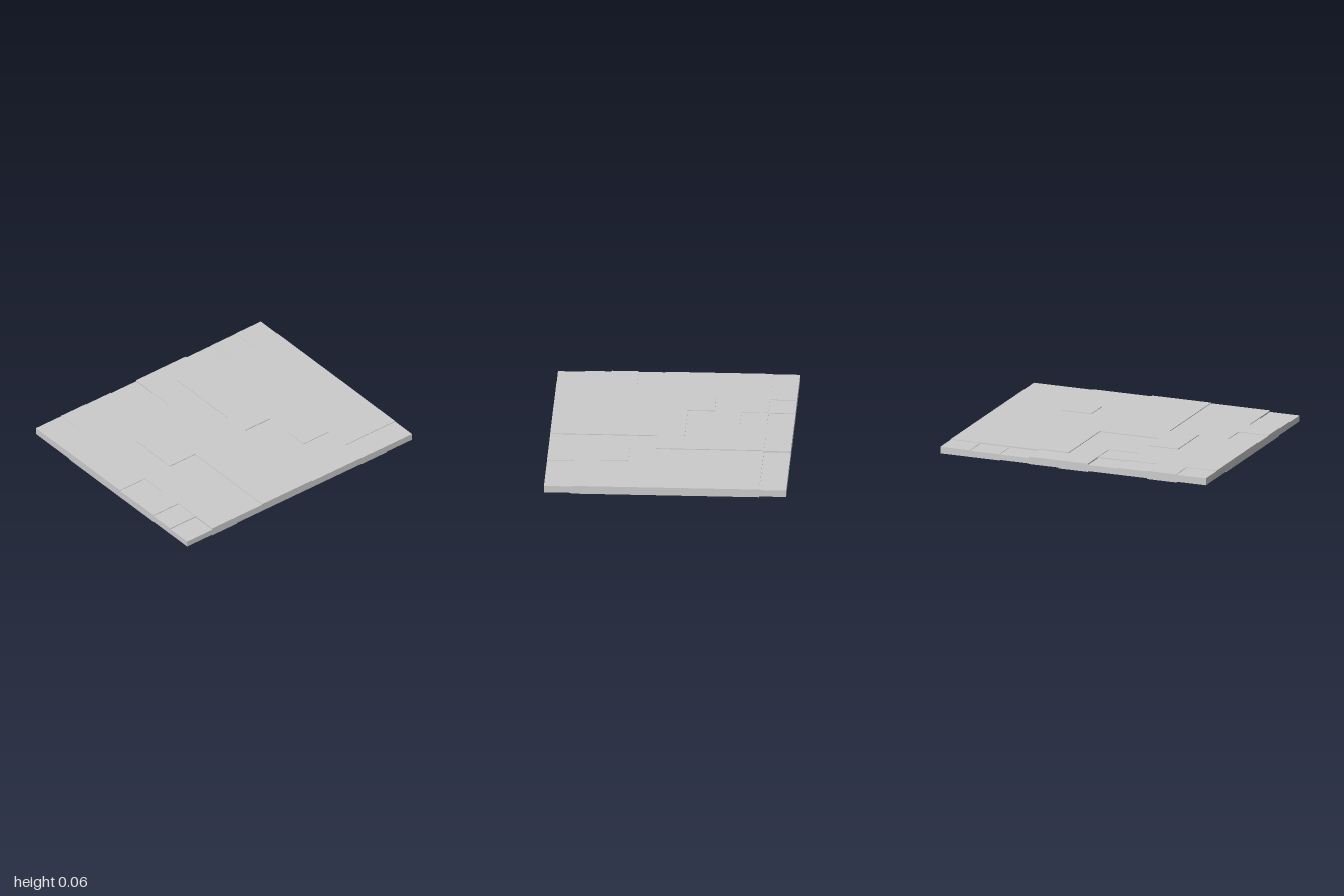
import * as THREE from 'three';

// Plan of the slab: one letter per cell, back row first, x running left to right
const PLAN = [
  'dAefAAghi',
  'AAAkABCCC',
  'AAAAABCCC',
  'AABAABCCC',
  'AABBBBCCC',
  'nAABBCCCC',
  'AAABBCrCC',
  'pAABBCCCC',
  'mAABBCCss',
];
// Depth of the shallow recesses on the underside, per cell
const RECESS = [
  '101101211',
  '100000000',
  '000000000',
  '000000000',
  '000000000',
  '000000000',
  '000000000',
  '100111000',
  '101111101',
];
// Part name and top height for each letter
const PARTS = {
  A: ['sidePlate', 0.059],
  B: ['centralRidge', 0.064],
  C: ['farPlate', 0.058],
  d: ['cornerNotch', 0.056],
  e: ['backNotchShallow', 0.055],
  f: ['backNotchDeep', 0.05],
  g: ['backLedgeLow', 0.049],
  h: ['backLedgeMiddle', 0.051],
  i: ['backLedgeHigh', 0.054],
  k: ['innerNotch', 0.056],
  n: ['edgeNotch', 0.055],
  p: ['edgeStep', 0.054],
  m: ['frontCornerNotch', 0.048],
  r: ['raisedTile', 0.062],
  s: ['frontLedge', 0.054],
};
const N = 9, HALF_X = 1, HALF_Z = 0.842;
const BOTTOM = [0, 0.006, 0.01];

const px = (i) => -HALF_X + (2 * HALF_X * i) / N;
const pz = (j) => -HALF_Z + (2 * HALF_Z * j) / N;

// Vertical extent of a cell; null outside the slab
function span(i, j) {
  if (i < 0 || j < 0 || i >= N || j >= N) return null;
  return [BOTTOM[+RECESS[j][i]], PARTS[PLAN[j][i]][1]];
}

function quad(out, a, b, c, d) {
  for (const p of [a, b, c, a, c, d]) out.push(...p);
}

// Faces of one cell: top, underside and only the exposed bits of its walls
function addCell(out, i, j) {
  const [lo, hi] = span(i, j);
  const x0 = px(i), x1 = px(i + 1), z0 = pz(j), z1 = pz(j + 1);
  quad(out, [x0, hi, z1], [x1, hi, z1], [x1, hi, z0], [x0, hi, z0]);
  quad(out, [x0, lo, z0], [x1, lo, z0], [x1, lo, z1], [x0, lo, z1]);
  // Neighbour offset and the wall's two ends, seen left to right from outside
  const walls = [
    [0, 1, x0, z1, x1, z1],
    [1, 0, x1, z1, x1, z0],
    [0, -1, x1, z0, x0, z0],
    [-1, 0, x0, z0, x0, z1],
  ];
  for (const [di, dj, ax, az, bx, bz] of walls) {
    const next = span(i + di, j + dj);
    const bands = next ? [[lo, next[0]], [next[1], hi]] : [[lo, hi]];
    for (const [y0, y1] of bands) {
      if (y1 - y0 > 1e-6) quad(out, [ax, y0, az], [bx, y0, bz], [bx, y1, bz], [ax, y1, az]);
    }
  }
}

export function createModel() {
  const model = new THREE.Group();
  model.name = 'steppedSlab';
  const material = new THREE.MeshStandardMaterial({ color: 0xcccccc, flatShading: true });

  // One mesh for each plate, ledge or notch
  for (const [letter, [name]] of Object.entries(PARTS)) {
    const out = [];
    for (let j = 0; j < N; j++) {
      for (let i = 0; i < N; i++) if (PLAN[j][i] === letter) addCell(out, i, j);
    }
    const geometry = new THREE.BufferGeometry();
    geometry.setAttribute('position', new THREE.Float32BufferAttribute(out, 3));
    geometry.computeVertexNormals();
    const mesh = new THREE.Mesh(geometry, material);
    mesh.name = name;
    model.add(mesh);
  }
  return model;
}
